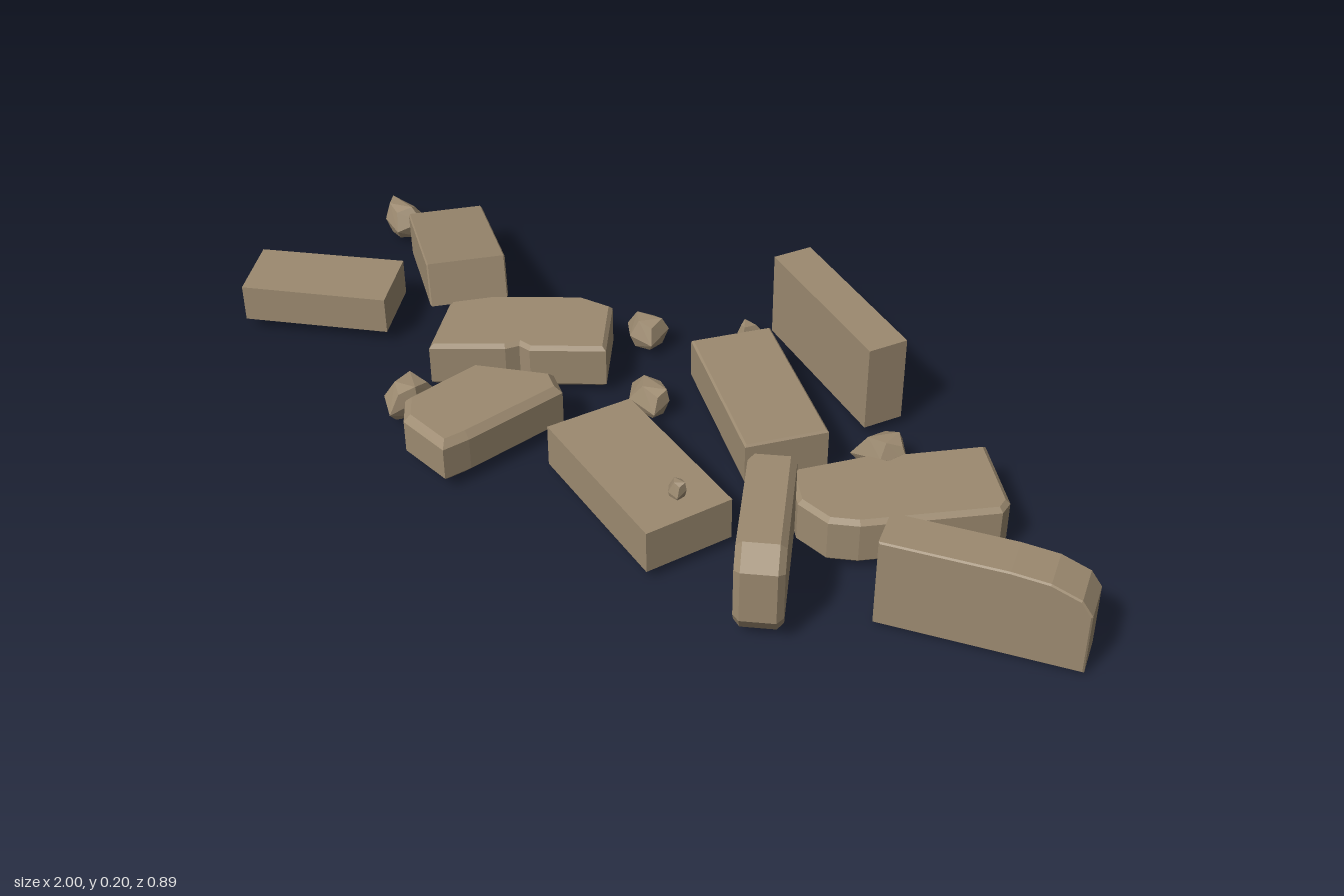
import * as THREE from 'three';
import { ConvexGeometry } from 'three/addons/geometries/ConvexGeometry.js';

const stone = new THREE.MeshStandardMaterial({ color: 0x9c8a70 });
stone.name = 'sandy stone';

// Extrude a 2D outline along z from z0 to z1, with an optional single chamfer kept inside the outline
function extrude(points, z0, z1, chamfer) {
  const shape = new THREE.Shape(points.map(([x, y]) => new THREE.Vector2(x, y)));
  const geo = new THREE.ExtrudeGeometry(shape, {
    depth: z1 - z0 - 2 * chamfer, bevelEnabled: chamfer > 0, bevelSegments: 1,
    bevelThickness: chamfer, bevelSize: chamfer, bevelOffset: -chamfer,
  });
  return geo.translate(0, 0, z0 + chamfer);
}

// Brick lying flat: footprint given as [x, z]
function flatBrick(footprint, y0, y1, chamfer = 0) {
  return extrude(footprint.map(([x, z]) => [x, -z]), y0, y1, chamfer).rotateX(-Math.PI / 2);
}

// Brick defined by its side profile [distance, y], running from a toward b
function profileBrick(a, b, width, profile, chamfer = 0) {
  return extrude(profile, -width / 2, width / 2, chamfer)
    .rotateY(-Math.atan2(b[1] - a[1], b[0] - a[0]))
    .translate(a[0], 0, a[1]);
}

// Broken chip: a footprint ring at mid height, smaller rings below and above
function chip(ring, y0, y1, lean) {
  const cx = ring.reduce((s, p) => s + p[0], 0) / ring.length;
  const cz = ring.reduce((s, p) => s + p[1], 0) / ring.length;
  const pts = [];
  const h = y1 - y0;
  ring.forEach(([x, z], i) => {
    const at = (k, y, dx) => pts.push(new THREE.Vector3(cx + (x - cx) * k + dx, y, cz + (z - cz) * k));
    at(0.7, y0 + (i % 2) * h * 0.06, 0);
    at(1, y0 + h * (0.35 + 0.12 * (i % 3)), 0);
    at(0.6, y1 - (i % 2) * h * 0.12, lean);
  });
  return new ConvexGeometry(pts);
}

export function createModel() {
  const group = new THREE.Group();
  group.name = 'brickRubble';
  const add = (name, geo) => {
    const flat = geo.index ? geo.toNonIndexed() : geo;
    flat.computeVertexNormals();
    const mesh = new THREE.Mesh(flat, stone);
    mesh.name = name;
    group.add(mesh);
  };

  // Whole bricks lying flat
  add('leftBrick', flatBrick([[-1, 0.18], [-0.73, 0.02], [-0.65, 0.155], [-0.92, 0.31]], 0.025, 0.105));
  add('centreBrick', flatBrick([[0.04, -0.275], [0.34, -0.065], [0.245, 0.075], [-0.055, -0.135]], 0.02, 0.11, 0.004));
  add('frontBrick', flatBrick([[-0.022, 0.097], [0.323, 0.215], [0.264, 0.39], [-0.086, 0.267]], 0.02, 0.11));

  // Flat bricks with broken outlines
  add('chippedBrick', flatBrick([[-0.545, 0.055], [-0.46, -0.015], [-0.335, -0.115], [-0.26, -0.128],
    [-0.168, 0], [-0.29, 0.096], [-0.318, 0.096], [-0.332, 0.123], [-0.452, 0.22]], 0.015, 0.112, 0.008));
  add('brokenFrontBrick', flatBrick([[-0.345, 0.2], [-0.2, 0.123], [-0.147, 0.155], [-0.185, 0.38],
    [-0.2, 0.436], [-0.322, 0.42], [-0.368, 0.37]], 0.015, 0.112, 0.014));
  add('brokenRightBrick', flatBrick([[0.595, -0.217], [0.72, -0.102], [0.724, -0.07], [0.545, 0.125], [0.495, 0.155],
    [0.42, 0.145], [0.35, 0.08], [0.44, -0.053], [0.475, -0.062], [0.485, -0.095]], 0.015, 0.113, 0.009));

  // Brick leaning up onto its neighbour
  add('leaningBrick', profileBrick([-0.802, -0.182], [-0.503, 0.048], 0.164,
    [[0.021, 0.022], [0.376, 0.108], [0.355, 0.199], [0, 0.112]], 0.003));

  // Bricks standing on their long edge
  add('backUprightBrick', profileBrick([-0.008, -0.412], [0.342, -0.254], 0.085,
    [[0, 0.02], [0.382, 0.02], [0.382, 0.205], [0, 0.205]]));
  add('rightUprightBrick', profileBrick([0.634, 0.187], [0.985, 0.064], 0.088,
    [[0, 0.006], [0.376, 0.006], [0.376, 0.135], [0.355, 0.165], [0.3, 0.186], [0.23, 0.192], [0, 0.192]], 0.003));
  add('frontUprightBrick', profileBrick([0.36, 0.143], [0.518, 0.392], 0.09,
    [[0, 0.04], [0.02, 0.02], [0.28, 0.02], [0.304, 0.055], [0.304, 0.165], [0.265, 0.203], [0.02, 0.203], [0, 0.18]], 0.012));

  // Loose chips: footprint, bottom, top, sideways shift of the top
  const chips = [
    [[[-0.992, -0.193], [-0.885, -0.203], [-0.874, -0.176], [-0.906, -0.128], [-0.96, -0.144]], 0.012, 0.085, -0.008],
    [[[-0.27, -0.187], [-0.222, -0.219], [-0.174, -0.208], [-0.174, -0.15], [-0.227, -0.144]], 0.01, 0.075, 0.006],
    [[[-0.131, -0.037], [-0.078, -0.059], [-0.019, -0.021], [-0.024, 0.021], [-0.094, 0.016]], 0, 0.065, 0.015],
    [[[0.356, -0.118], [0.372, -0.193], [0.42, -0.203], [0.463, -0.16], [0.42, -0.128]], 0.01, 0.075, 0.008],
    [[[-0.473, 0.262], [-0.398, 0.257], [-0.393, 0.316], [-0.42, 0.369], [-0.468, 0.337]], 0.01, 0.085, 0.008],
    [[[-0.083, -0.348], [-0.035, -0.353], [-0.051, -0.305], [-0.078, -0.321]], 0.004, 0.045, 0],
    [[[0.211, 0.262], [0.227, 0.246], [0.254, 0.262], [0.249, 0.283], [0.227, 0.283]], 0.1, 0.143, 0.006],
  ];
  chips.forEach((c, i) => add('chip' + (i + 1), chip(...c)));

  return group;
}
